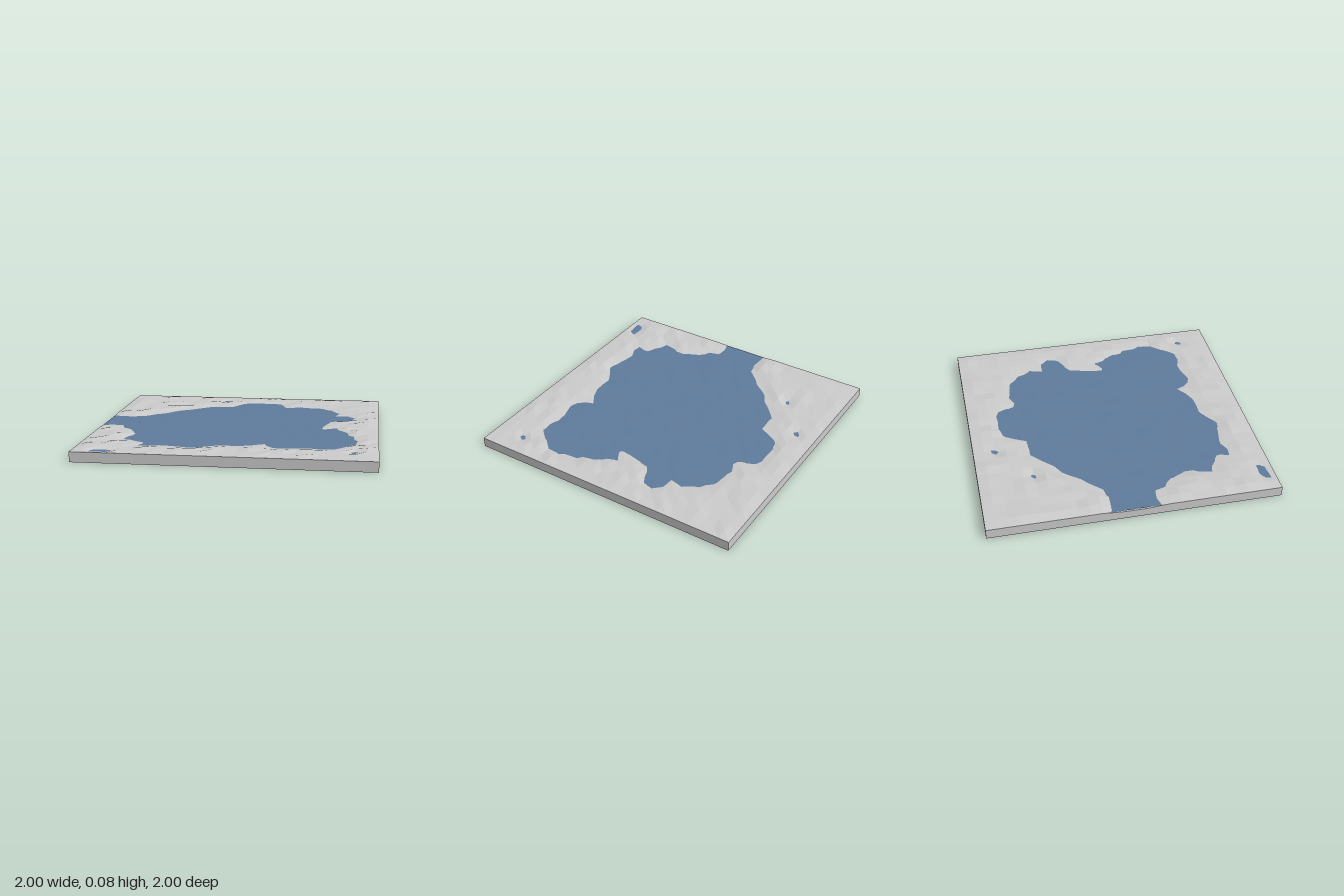
import * as THREE from 'three';

const CELLS = 26;
const WATER = 0.066;
const EDGE = 0.07;

// Shoreline of the lake and its outlet, as x, z pairs
const SHORE = [
  -1.2, -0.18, -0.92, -0.18, -0.78, -0.17, -0.72, -0.23, -0.62, -0.33, -0.55, -0.43, -0.46, -0.46,
  -0.42, -0.53, -0.33, -0.57, -0.3, -0.64, -0.2, -0.59, -0.13, -0.62, -0.12, -0.69, -0.04, -0.8,
  0.05, -0.78, 0.13, -0.8, 0.23, -0.78, 0.26, -0.66, 0.32, -0.63, 0.4, -0.67, 0.55, -0.64,
  0.62, -0.58, 0.7, -0.47, 0.68, -0.36, 0.78, -0.36, 0.82, -0.3, 0.8, -0.2, 0.65, -0.18,
  0.62, -0.04, 0.58, 0.07, 0.66, 0.12, 0.68, 0.03, 0.77, 0.2, 0.83, 0.28, 0.84, 0.45,
  0.92, 0.53, 0.82, 0.55, 0.74, 0.68, 0.64, 0.72, 0.52, 0.68, 0.37, 0.73, 0.28, 0.7,
  0.23, 0.61, 0.1, 0.68, -0.05, 0.68, -0.15, 0.73, -0.24, 0.78, -0.35, 0.74, -0.5, 0.73,
  -0.6, 0.79, -0.58, 0.68, -0.66, 0.6, -0.76, 0.6, -0.72, 0.52, -0.7, 0.43, -0.74, 0.32,
  -0.8, 0.24, -0.89, 0.2, -0.77, 0.18, -0.9, 0.14, -1.2, 0.2,
];

// Small ponds on the banks
const PONDS = [[-0.81, 0.92], [-0.53, -0.61], [-0.23, -0.85], [0.84, 0.77]];

// Repeatable value from 0 to 1 for a grid point
function hash(x, z, seed) {
  const i = Math.round(x * 13), j = Math.round(z * 13);
  const s = Math.sin(i * 127.1 + j * 311.7 + seed * 74.7) * 43758.5453;
  return s - Math.floor(s);
}

// Signed distance to the shoreline: positive on land, negative in the lake
function shoreDistance(x, z) {
  let best = Infinity, inside = false;
  const n = SHORE.length / 2;
  for (let i = 0, j = n - 1; i < n; j = i++) {
    const ax = SHORE[2 * j], az = SHORE[2 * j + 1];
    const bx = SHORE[2 * i], bz = SHORE[2 * i + 1];
    const dx = bx - ax, dz = bz - az;
    const t = THREE.MathUtils.clamp(((x - ax) * dx + (z - az) * dz) / (dx * dx + dz * dz), 0, 1);
    best = Math.min(best, Math.hypot(x - ax - t * dx, z - az - t * dz));
    if ((az > z) !== (bz > z) && x < ax + ((z - az) / dz) * dx) inside = !inside;
  }
  return inside ? -best : best;
}

function landHeight(x, z) {
  const d = shoreDistance(x, z);
  const base = WATER + THREE.MathUtils.clamp(d * 0.12, -0.008, 0.007);
  // Straight rim around the tile
  if (Math.max(Math.abs(x), Math.abs(z)) > 0.99) return Math.min(base, EDGE);
  if (PONDS.some(([px, pz]) => Math.hypot(x - px, z - pz) < 0.05)) return WATER - 0.004;
  if (d < 0.04) return base;
  // Rough ground, with a low scarp above the outlet
  const scarp = x < -0.5 && z < 0 && d < 0.16 ? 0.005 : 0;
  const rough = Math.max(0, hash(x, z, 1) - 0.4) * 0.015;
  return base + Math.min(0.0105, scarp + rough);
}

export function createModel() {
  const model = new THREE.Group();
  model.name = 'lakeTile';

  // Solid ground slab with a sculpted top
  const land = new THREE.BoxGeometry(2, EDGE, 2, CELLS, 1, CELLS);
  land.translate(0, EDGE / 2, 0);
  const p = land.attributes.position;
  for (let i = 0; i < p.count; i++) {
    if (p.getY(i) > 0.01) p.setY(i, landHeight(p.getX(i), p.getZ(i)));
  }
  land.computeVertexNormals();
  const ground = new THREE.Mesh(land, new THREE.MeshStandardMaterial({ color: 0xcccccc, flatShading: true }));
  ground.name = 'ground';
  model.add(ground);

  // Gently rippled water sheet showing wherever the ground dips below it
  const sheet = new THREE.PlaneGeometry(1.998, 1.998, CELLS, CELLS);
  sheet.rotateX(-Math.PI / 2);
  const w = sheet.attributes.position;
  for (let i = 0; i < w.count; i++) {
    w.setY(i, WATER + (hash(w.getX(i), w.getZ(i), 2) - 0.5) * 0.002);
  }
  sheet.computeVertexNormals();
  const water = new THREE.Mesh(sheet, new THREE.MeshStandardMaterial({
    color: 0x5f7b9c, flatShading: true, side: THREE.DoubleSide,
  }));
  water.name = 'water';
  model.add(water);

  return model;
}
